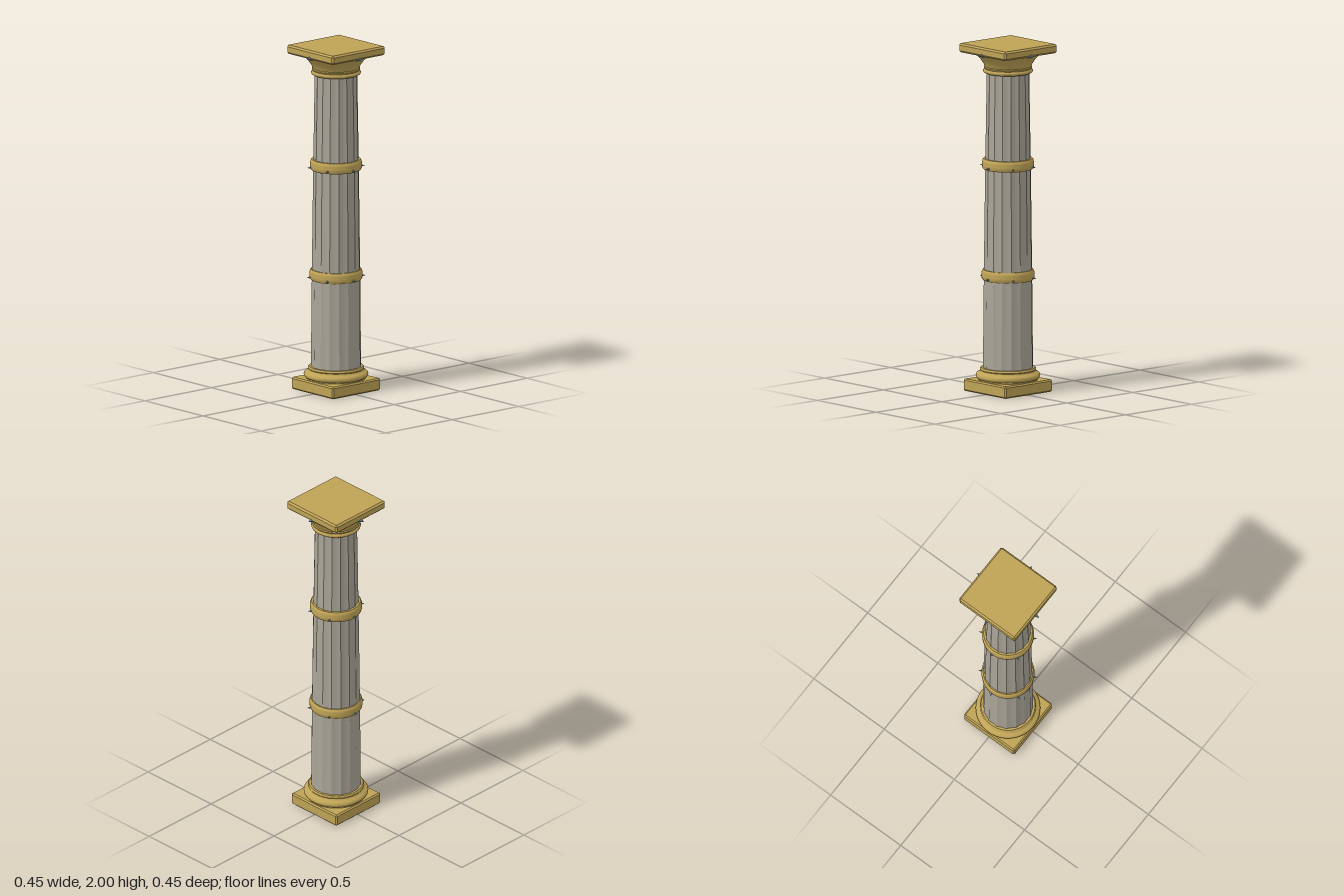
import * as THREE from 'three';
import { toCreasedNormals } from 'three/addons/utils/BufferGeometryUtils.js';
import { ConvexGeometry } from 'three/addons/geometries/ConvexGeometry.js';

const FLUTES = 16;

// Square slab with chamfered edges and corners
function chamferedSlab(width, height, bevel) {
  const w = width / 2, h = height / 2, points = [];
  for (const x of [-1, 1]) for (const y of [-1, 1]) for (const z of [-1, 1]) {
    points.push(
      new THREE.Vector3(x * w, y * (h - bevel), z * (w - bevel)),
      new THREE.Vector3(x * (w - bevel), y * h, z * (w - bevel)),
      new THREE.Vector3(x * (w - bevel), y * (h - bevel), z * w));
  }
  return new ConvexGeometry(points);
}

// Turned moulding from [radius, y] pairs, listed bottom to top
function turned(profile) {
  const points = profile.map(([r, y]) => new THREE.Vector2(r, y));
  return toCreasedNormals(new THREE.LatheGeometry(points, 48), 0.7);
}

// Tapering shaft with slight entasis and shallow concave flutes
function flutedShaft(y0, y1) {
  const geo = new THREE.CylinderGeometry(1, 1, y1 - y0, FLUTES * 4, 12, true);
  geo.translate(0, (y0 + y1) / 2, 0);
  const pos = geo.attributes.position;
  for (let i = 0; i < pos.count; i++) {
    const x = pos.getX(i), y = pos.getY(i), z = pos.getZ(i);
    const t = (y - y0) / (y1 - y0);
    const angle = Math.atan2(z, x);
    const flute = Math.abs(Math.cos(angle * FLUTES / 2));
    const r = 0.143 - 0.013 * t - 0.009 * t * t - 0.005 * flute;
    pos.setXYZ(i, x * r, y, z * r);
  }
  return toCreasedNormals(geo, 0.45);
}

export function createModel() {
  const gold = new THREE.MeshStandardMaterial({ name: 'gold', color: 0xbfa356 });
  const stone = new THREE.MeshStandardMaterial({ name: 'stone', color: 0xaaa598 });
  const steel = new THREE.MeshStandardMaterial({ name: 'blue steel', color: 0x7a9dab });

  const column = new THREE.Group();
  column.name = 'column';

  const add = (name, geometry, material, y = 0) => {
    const mesh = new THREE.Mesh(geometry, material);
    mesh.name = name;
    mesh.position.y = y;
    column.add(mesh);
  };

  // Ring of cones pointing outwards
  const addSpikes = (name, count, y, inner, tip, radius) => {
    const ring = new THREE.Group();
    ring.name = name;
    const geo = toCreasedNormals(new THREE.ConeGeometry(radius, tip - inner, 8), 0.3);
    geo.rotateZ(-Math.PI / 2);
    geo.translate((inner + tip) / 2, 0, 0);
    for (let i = 0; i < count; i++) {
      const spike = new THREE.Mesh(geo, steel);
      spike.name = 'spike';
      spike.rotation.y = i * Math.PI * 2 / count;
      ring.add(spike);
    }
    ring.position.y = y;
    column.add(ring);
  };

  // Base
  add('plinth', chamferedSlab(0.36, 0.07, 0.008), gold, 0.035);
  add('baseMoulding', turned([
    [0, 0.068], [0.168, 0.068], [0.168, 0.077], [0.176, 0.08], [0.182, 0.088],
    [0.183, 0.096], [0.18, 0.104], [0.173, 0.111], [0.163, 0.114], [0.158, 0.121],
    [0.156, 0.125], [0.159, 0.13], [0.158, 0.136], [0.153, 0.141], [0.125, 0.141],
  ]), gold);

  // Shaft
  add('shaft', flutedShaft(0.13, 1.85), stone);

  // Spiked bands
  for (const [name, y, r] of [['lowerBand', 0.675, 0.15], ['upperBand', 1.313, 0.147]]) {
    add(name, turned([
      [r - 0.025, -0.03], [r - 0.006, -0.03], [r - 0.001, -0.022], [r, -0.005],
      [r, 0.01], [r - 0.003, 0.022], [r - 0.009, 0.03], [r - 0.025, 0.03],
    ]), gold, y);
    addSpikes(name + 'Spikes', 6, y - 0.017, r - 0.01, r + 0.02, 0.009);
  }

  // Capital
  add('capitalMoulding', turned([
    [0.11, 1.835], [0.132, 1.835], [0.139, 1.84], [0.141, 1.847], [0.139, 1.854],
    [0.132, 1.859], [0.136, 1.863], [0.137, 1.868], [0.132, 1.873], [0.137, 1.885],
    [0.146, 1.9], [0.158, 1.917], [0.172, 1.933], [0.185, 1.945], [0.185, 1.952], [0, 1.952],
  ]), gold);
  add('abacus', chamferedSlab(0.4, 0.052, 0.01), gold, 1.974);
  addSpikes('abacusSpikes', 4, 1.955, 0.182, 0.223, 0.017);

  return column;
}
